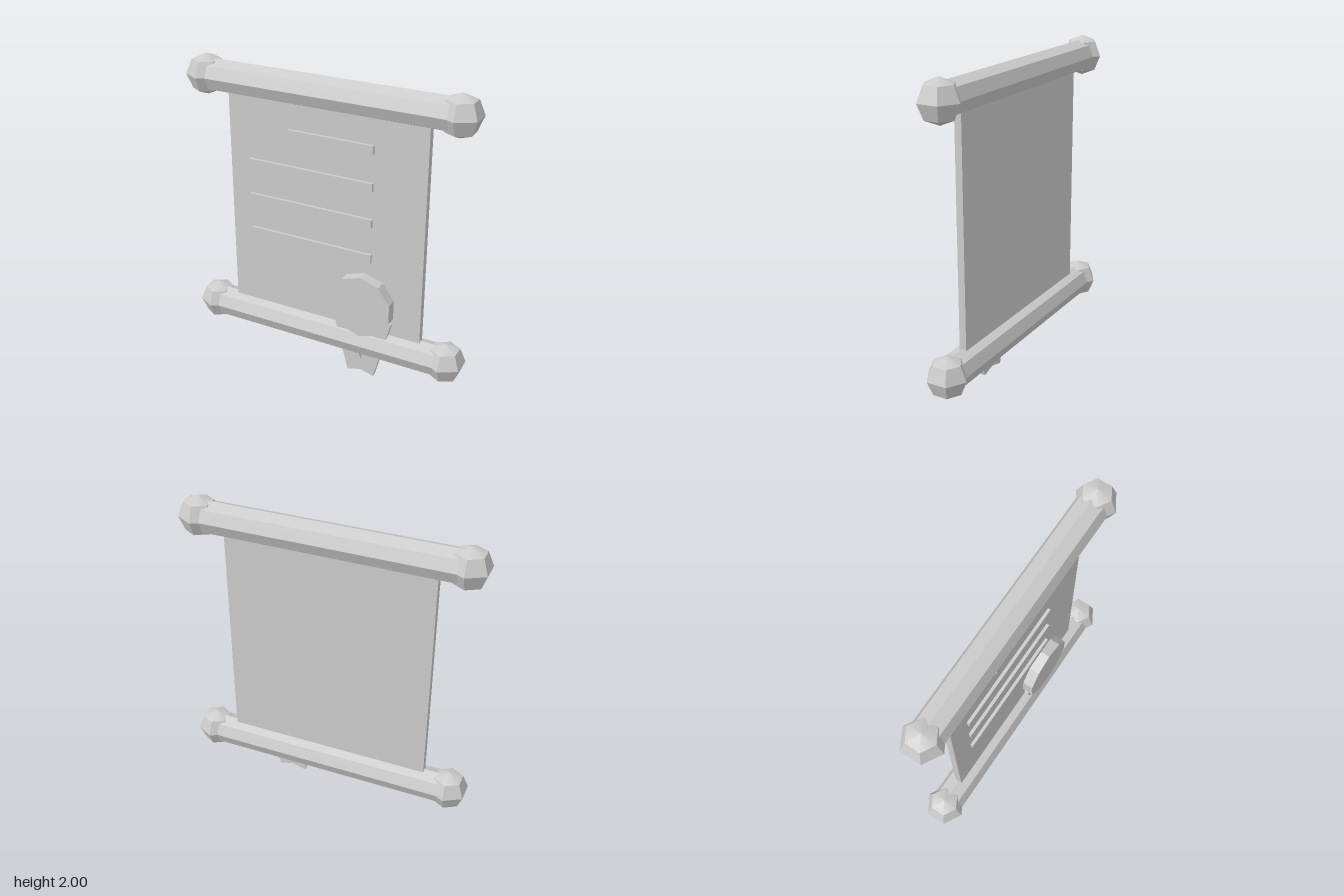
import * as THREE from 'three';
import { toCreasedNormals } from 'three/addons/utils/BufferGeometryUtils.js';

export function createModel() {
  const model = new THREE.Group();
  model.name = 'scroll';
  const grey = new THREE.MeshStandardMaterial({ color: 0xcccccc });
  grey.name = 'plain grey';

  function add(name, geometry, x, y, z) {
    // Sharp facets, with only shallow edges softened
    const mesh = new THREE.Mesh(toCreasedNormals(geometry, Math.PI / 6), grey);
    mesh.name = name;
    mesh.position.set(x, y, z);
    model.add(mesh);
    return mesh;
  }

  // Sheet between the two rods
  add('sheet', new THREE.BoxGeometry(1.354, 1.64, 0.046), 0, 1.05, 0);

  // Octagonal rods with faceted knobs at both ends
  for (const [level, y] of [['upper', 1.867], ['lower', 0.23]]) {
    const rod = new THREE.CylinderGeometry(0.105, 0.105, 1.69, 8).rotateZ(Math.PI / 2);
    add(level + 'Rod', rod, 0, y, 0);
    for (const [side, s] of [['Left', 1], ['Right', -1]]) {
      const knob = new THREE.SphereGeometry(0.133, 6, 4).rotateY(Math.PI / 2);
      add(level + side + 'Knob', knob, s * 0.845, y, 0);
    }
  }

  // Raised lines of writing, the first one shorter
  [1.58, 1.338, 1.097, 0.855].forEach((y, i) => {
    const start = i === 0 ? -0.243 : -0.53, end = 0.334;
    add('writingLine', new THREE.BoxGeometry(end - start, 0.055, 0.02), (start + end) / 2, y, 0.037);
  });

  // Ten-sided seal
  const sealX = 0.287;
  const seal = new THREE.CylinderGeometry(0.215, 0.215, 0.072, 10).rotateX(Math.PI / 2);
  add('seal', seal, sealX, 0.52, 0.059);

  // Crossing ribbon tails, mirrored about the seal
  for (const [side, s] of [['right', -1], ['left', 1]]) {
    const tail = add(side + 'Ribbon', new THREE.BoxGeometry(0.118, 0.44, 0.027), sealX + s * 0.093, 0.23, 0.05);
    tail.rotation.z = -s * Math.PI / 12;
  }

  return model;
}
